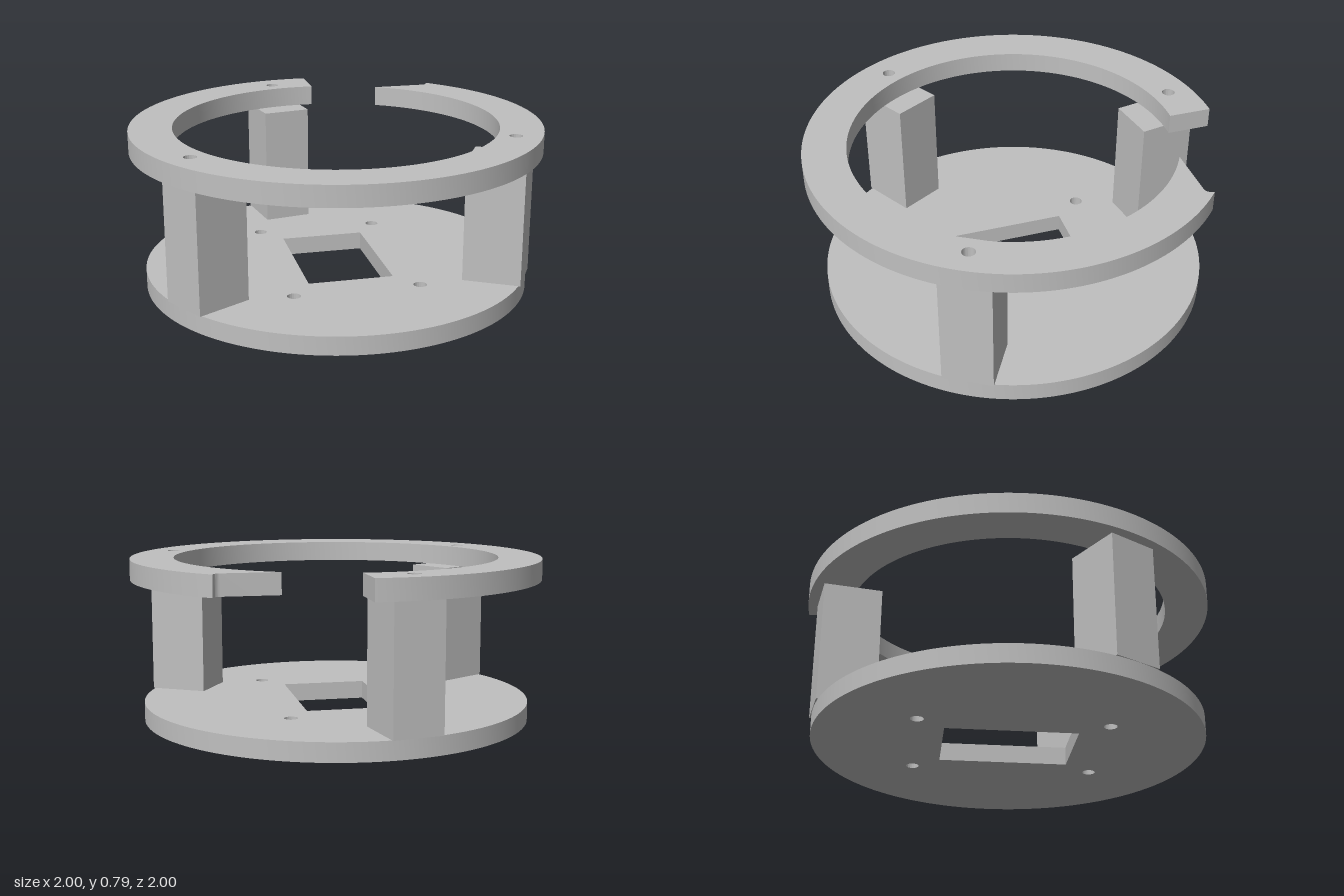
import * as THREE from 'three';
import { toCreasedNormals } from 'three/addons/utils/BufferGeometryUtils.js';

const BASE_TOP = 0.09, RING_BOTTOM = 0.69, RING_TOP = 0.79;
const OUTER = 1, INNER = 0.79;

// Circular hole in plan coordinates (x, z)
function roundHole(x, z, r) {
  return new THREE.Path().absarc(x, z, r, 0, Math.PI * 2, true);
}

// Extrudes a plan shape (x, z) between two heights, smooth around its curves
function plate(shape, bottom, top) {
  const geo = new THREE.ExtrudeGeometry(shape, {
    depth: top - bottom, bevelEnabled: false, curveSegments: 96,
  });
  geo.rotateX(Math.PI / 2).translate(0, top, 0);
  return toCreasedNormals(geo, 0.5);
}

export function createModel() {
  const group = new THREE.Group();
  const grey = new THREE.MeshStandardMaterial({ color: 0xc0c0c0 });
  grey.name = 'plain grey';

  function add(name, geometry) {
    const mesh = new THREE.Mesh(geometry, grey);
    mesh.name = name;
    group.add(mesh);
    return mesh;
  }

  // Base disc with a rectangular window and four screw holes
  const base = new THREE.Shape().absarc(0, 0, 0.945, 0, Math.PI * 2, false);
  base.holes.push(new THREE.Path([
    [-0.208, -0.32], [-0.208, 0.313], [0.208, 0.313], [0.208, -0.32],
  ].map(([x, z]) => new THREE.Vector2(x, z))));
  for (const x of [-0.306, 0.306]) {
    for (const z of [-0.45, 0.445]) base.holes.push(roundHole(x, z, 0.032));
  }
  add('baseDisc', plate(base, 0, BASE_TOP));

  // Open ring: one end cut along z, the other along x with a small notch
  const notch = Math.atan2(-0.728, 0.685);
  const outerEnd = 2 * Math.PI - Math.acos(0.05 / OUTER);
  const innerEnd = 2 * Math.PI - Math.acos(0.05 / INNER);
  const ring = new THREE.Shape();
  ring.absarc(0, 0, OUTER, notch, outerEnd, false);
  ring.absarc(0, 0, INNER, innerEnd, -Math.asin(0.69 / INNER), true);
  ring.lineTo(0.652, -0.69);
  ring.quadraticCurveTo(0.678, -0.692, OUTER * Math.cos(notch), OUTER * Math.sin(notch));
  for (const [x, z] of [[-0.155, -0.867], [-0.76, 0.435], [0.76, 0.435]]) {
    ring.holes.push(roundHole(x, z, 0.031));
  }
  add('openRing', plate(ring, RING_BOTTOM, RING_TOP));

  // Three radial posts between base and ring
  const posts = [['leftPost', 30], ['rightPost', 150], ['backPost', 260]];
  for (const [name, degrees] of posts) {
    const a = THREE.MathUtils.degToRad(degrees);
    const post = add(name, new THREE.BoxGeometry(0.28, RING_BOTTOM - BASE_TOP, 0.243));
    post.position.set(0.807 * Math.cos(a), (BASE_TOP + RING_BOTTOM) / 2, 0.807 * Math.sin(a));
    post.rotation.y = -a;
  }

  return group;
}
